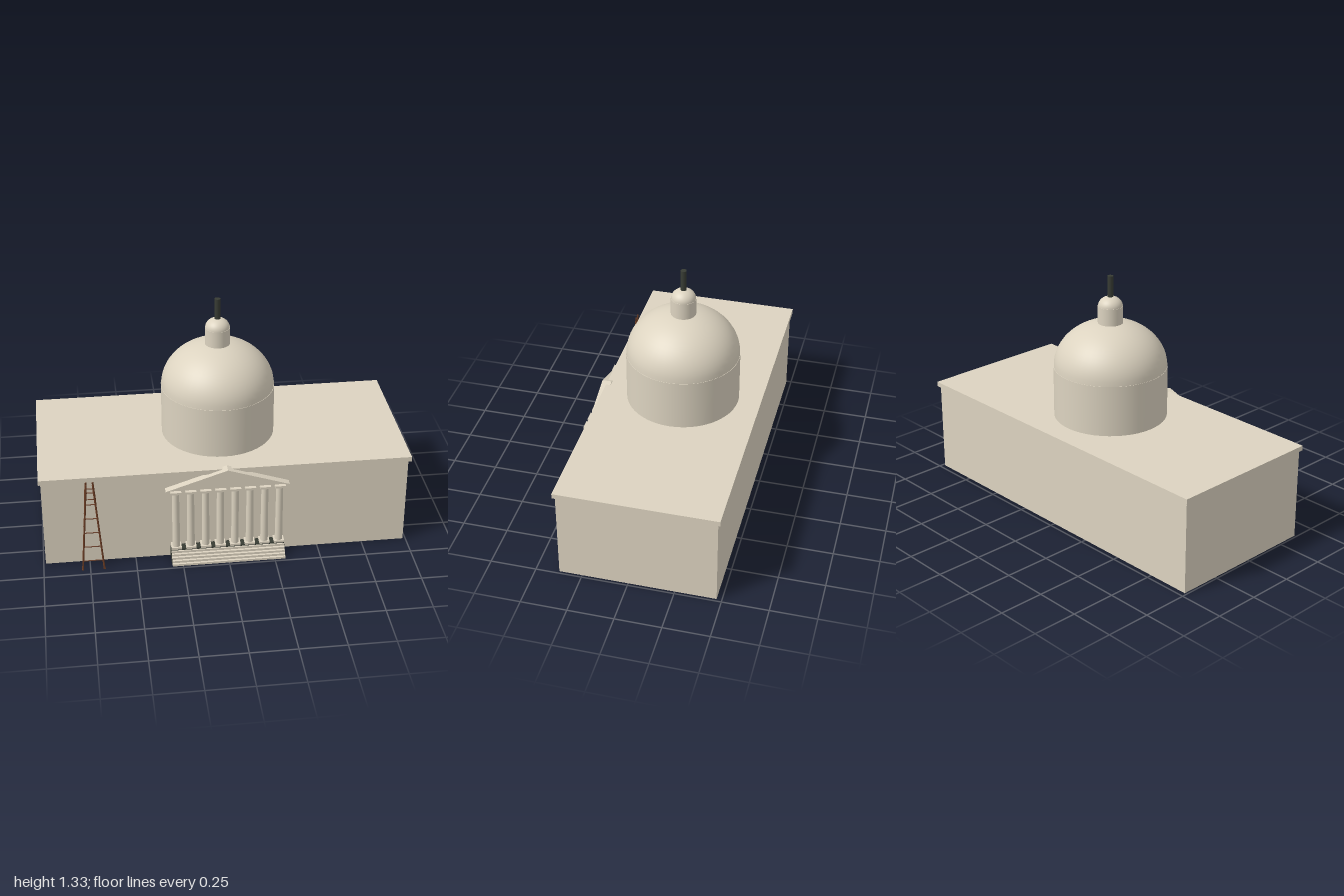
import * as THREE from 'three';

export function createModel() {
  const model = new THREE.Group();
  const material = (name, color) => {
    const m = new THREE.MeshStandardMaterial({ color });
    m.name = name;
    return m;
  };
  const stone = material('stone', 0xdcd3c0);
  const dark = material('dark metal', 0x383c34);
  const wood = material('ladder brown', 0x6a3c24);
  // Box faces: all stone except a dark underside
  const darkUnderside = [stone, stone, stone, dark, stone, stone];

  const add = (name, geometry, mat, x = 0, y = 0, z = 0, parent = model) => {
    const mesh = new THREE.Mesh(geometry, mat);
    mesh.name = name;
    mesh.position.set(x, y, z);
    parent.add(mesh);
    return mesh;
  };
  // Box given by its limits on each axis
  const block = (name, [x0, x1], [y0, y1], [z0, z1], mat = stone, parent = model) =>
    add(name, new THREE.BoxGeometry(x1 - x0, y1 - y0, z1 - z0), mat,
      (x0 + x1) / 2, (y0 + y1) / 2, (z0 + z1) / 2, parent);
  const group = (name) => {
    const g = new THREE.Group();
    g.name = name;
    model.add(g);
    return g;
  };

  // Main hall and overhanging roof slab
  block('mainHall', [-0.988, 0.985], [0, 0.51], [-0.472, 0.375], darkUnderside);
  block('roofSlab', [-1, 1], [0.51, 0.537], [-0.485, 0.387]);

  // Drums with rounded caps
  const dome = group('dome');
  dome.position.z = -0.05;
  const cap = (r, h) => {
    const points = [];
    for (let i = 0; i <= 16; i++) {
      const a = (i / 16) * Math.PI / 2;
      points.push(new THREE.Vector2(r * Math.cos(a), h * Math.sin(a)));
    }
    return new THREE.LatheGeometry(points, 48);
  };
  add('domeDrum', new THREE.CylinderGeometry(0.31, 0.31, 0.283, 48), stone, 0, 0.6785, 0, dome);
  add('domeCap', cap(0.308, 0.252), stone, 0, 0.82, 0, dome);
  add('lanternDrum', new THREE.CylinderGeometry(0.068, 0.068, 0.1, 32), stone, 0, 1.11, 0, dome);
  add('lanternCap', cap(0.066, 0.053), stone, 0, 1.16, 0, dome);
  add('spire', new THREE.CylinderGeometry(0.016, 0.016, 0.125, 16), dark, 0, 1.265, 0, dome);

  // Portico: steps with dark ends, dark plinth, columns, solid pediment
  const portico = group('portico');
  const steps = 5, rise = 0.062 / steps;
  for (let i = 0; i < steps; i++) {
    const y = [i * rise, (i + 1) * rise], front = 0.485 - i * 0.013;
    block('step', [-0.308, 0.308], y, [0.37, front], darkUnderside, portico);
    for (const s of [-1, 1]) {
      block('stepEnd', [s * 0.3085 - 0.002, s * 0.3085 + 0.002], y, [0.37, front - 0.02], dark, portico);
    }
  }
  block('plinth', [-0.308, 0.308], [0.062, 0.07], [0.37, 0.425], dark, portico);

  const shaft = new THREE.CylinderGeometry(0.019, 0.021, 0.345, 16);
  for (let i = 0; i < 8; i++) {
    const x = -0.28 + i * 0.08;
    block('columnBase', [x - 0.028, x + 0.028], [0.07, 0.083], [0.375, 0.431], stone, portico);
    add('columnShaft', shaft, stone, x, 0.2545, 0.404, portico);
    block('columnCapital', [x - 0.029, x + 0.029], [0.425, 0.438], [0.375, 0.436], stone, portico);
  }
  const pediment = new THREE.Shape(
    [[-0.333, 0.435], [0.333, 0.435], [0, 0.545]].map(([x, y]) => new THREE.Vector2(x, y)));
  add('pediment', new THREE.ExtrudeGeometry(pediment, { depth: 0.053, bevelEnabled: false }),
    stone, 0, 0, 0.362, portico);

  // Four-legged stepladder against the wall
  const ladder = group('stepladder');
  const rod = (name, a, b, r) => {
    const from = new THREE.Vector3(...a), to = new THREE.Vector3(...b);
    const dir = to.clone().sub(from);
    const mesh = add(name, new THREE.CylinderGeometry(r, r, dir.length(), 8), wood, 0, 0, 0, ladder);
    mesh.position.copy(from).add(to).multiplyScalar(0.5);
    mesh.quaternion.setFromUnitVectors(new THREE.Vector3(0, 1, 0), dir.normalize());
  };
  const legAt = (sx, sz, y) => {
    const t = y / 0.51;
    return [-0.733 + sx * (0.058 - 0.04 * t), y, 0.4 + sz * (0.057 - 0.041 * t)];
  };
  for (const sx of [-1, 1]) {
    for (const sz of [-1, 1]) {
      rod('ladderLeg', legAt(sx, sz, 0.003), legAt(sx, sz, 0.51), 0.005);
      const [x, , z] = legAt(sx, sz, 0);
      block('ladderFoot', [x - 0.006, x + 0.006], [0, 0.006], [z - 0.006, z + 0.006], wood, ladder);
    }
  }
  for (const y of [0.055, 0.14, 0.225, 0.31, 0.395, 0.465]) {
    for (const s of [-1, 1]) {
      rod('ladderRung', legAt(-1, s, y), legAt(1, s, y), 0.0028);
      rod('ladderBrace', legAt(s, -1, y), legAt(s, 1, y), 0.0028);
    }
  }
  return model;
}
